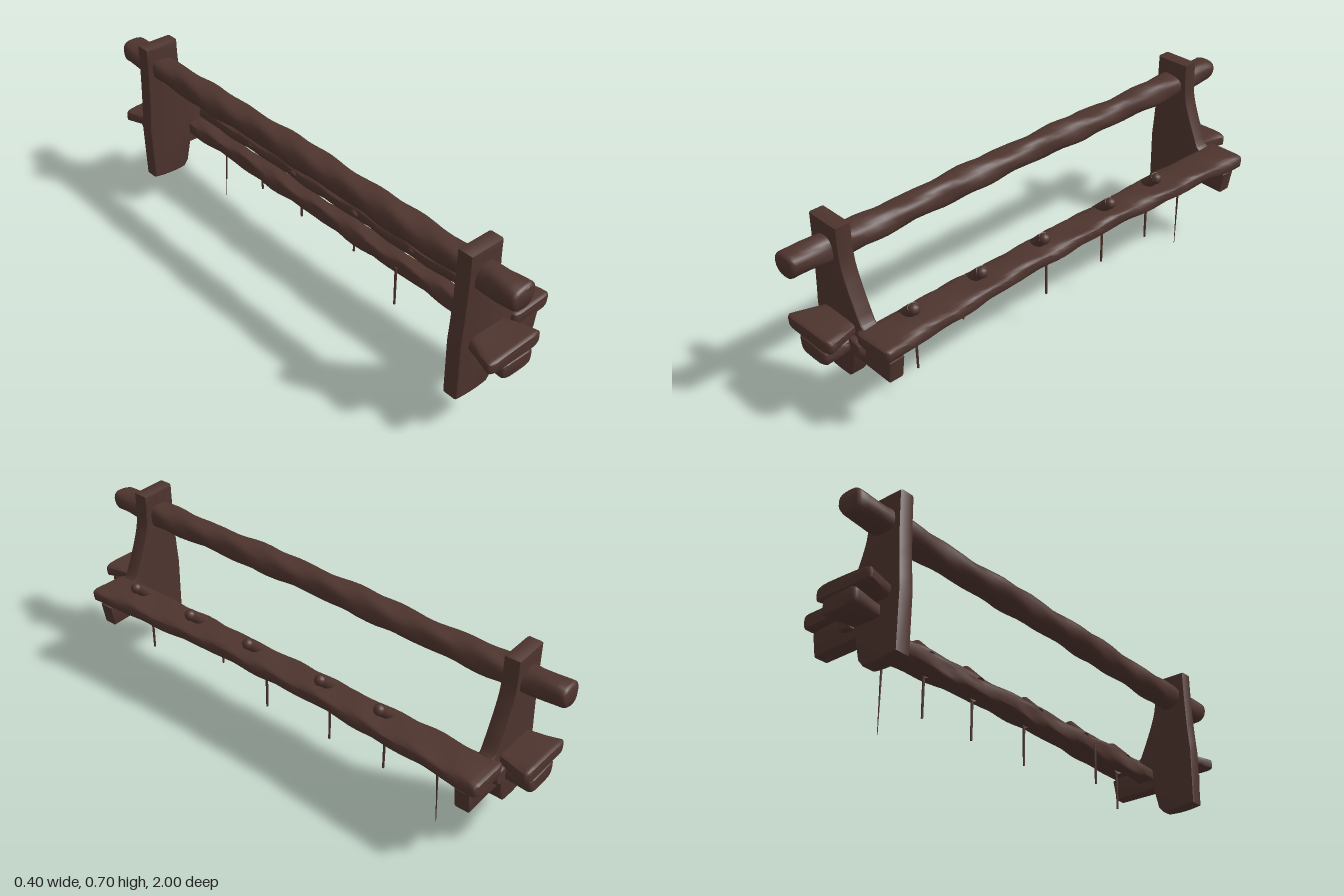
import * as THREE from 'three';
import { toCreasedNormals } from 'three/addons/utils/BufferGeometryUtils.js';

const wood = new THREE.MeshStandardMaterial({ color: 0x4e342e });
wood.name = 'dark wood';
const tan = new THREE.MeshStandardMaterial({ color: 0xb8a582 });
tan.name = 'pale cord';

// Hewn beam along z: box(t) gives [x0, x1, y0, y1] for t from 0 to 1.
function beamGeometry(z0, z1, box, { square = 0.45, wobble = 0.003, steps = 24, round = 0.012, seed = 0 } = {}) {
  const sides = 20, pos = [], index = [];
  const rings = [[0, 1 - round * 25 * 0.6], [round * 0.4, 0.94], [round, 1]];
  const stations = rings.map(([d, s]) => [z0 + d, s]);
  for (let i = 1; i < steps; i++) stations.push([z0 + (z1 - z0) * i / steps, 1]);
  for (const [d, s] of [...rings].reverse()) stations.push([z1 - d, s]);
  stations.sort((a, b) => a[0] - b[0]);
  const power = (v) => Math.sign(v) * Math.abs(v) ** square;
  for (const [z, s] of stations) {
    const [x0, x1, y0, y1] = box((z - z0) / (z1 - z0));
    for (let j = 0; j < sides; j++) {
      const a = j / sides * Math.PI * 2;
      const w = wobble * (Math.sin(z * 13 + a * 2 + seed) + Math.sin(z * 29 - a * 3 + seed * 2)) / 2;
      pos.push((x0 + x1) / 2 + power(Math.cos(a)) * (s * (x1 - x0) / 2 + w),
        (y0 + y1) / 2 + power(Math.sin(a)) * (s * (y1 - y0) / 2 + w), z);
    }
  }
  const last = stations.length - 1;
  for (let i = 0; i < last; i++) for (let j = 0; j < sides; j++) {
    const k = (j + 1) % sides, a = i * sides + j, b = i * sides + k;
    index.push(a, b, b + sides, a, b + sides, a + sides);
  }
  // flat end caps
  for (let j = 1; j < sides - 1; j++) {
    index.push(0, j + 1, j, last * sides, last * sides + j, last * sides + j + 1);
  }
  const g = new THREE.BufferGeometry();
  g.setAttribute('position', new THREE.Float32BufferAttribute(pos, 3));
  g.setIndex(index);
  return toCreasedNormals(g, 0.75);
}

// Tapered rod between two points.
function rod(name, a, b, rA, rB, sides) {
  const from = new THREE.Vector3(...a), dir = new THREE.Vector3(...b).sub(from);
  const mesh = new THREE.Mesh(new THREE.CylinderGeometry(rB, rA, dir.length(), sides), wood);
  mesh.position.copy(from).addScaledVector(dir, 0.5);
  mesh.quaternion.setFromUnitVectors(new THREE.Vector3(0, 1, 0), dir.normalize());
  mesh.name = name;
  return mesh;
}

// End bracket: tall board with a foot and a forward arm.
function bracketGeometry() {
  const s = new THREE.Shape();
  s.moveTo(-0.19, 0.146);
  s.quadraticCurveTo(-0.12, 0.133, -0.06, 0.14);
  s.lineTo(-0.045, 0.158);
  s.lineTo(-0.025, 0.242);
  s.lineTo(0.155, 0.238);
  s.lineTo(0.167, 0.308);
  s.lineTo(0.09, 0.335);
  s.lineTo(0.03, 0.375);
  s.quadraticCurveTo(-0.03, 0.5, -0.045, 0.56);
  s.quadraticCurveTo(-0.055, 0.6, -0.053, 0.696);
  s.lineTo(-0.176, 0.697);
  s.quadraticCurveTo(-0.178, 0.5, -0.192, 0.36);
  s.closePath();
  const g = new THREE.ExtrudeGeometry(s, {
    depth: 0.044, bevelThickness: 0.008, bevelSize: 0.008, bevelSegments: 2, curveSegments: 8,
  });
  g.translate(0, 0, -0.022);
  return toCreasedNormals(g, 0.6);
}

export function createModel() {
  const model = new THREE.Group();
  model.name = 'pegRack';
  const add = (name, geometry, material = wood) => {
    const mesh = new THREE.Mesh(geometry, material);
    mesh.name = name;
    model.add(mesh);
    return mesh;
  };

  // long members
  add('topRail', beamGeometry(-1, 1, (t) => {
    const y = 0.61 - 0.004 * Math.sin(t * 9);
    return [-0.164, -0.066, y - 0.044, y + 0.044];
  }, { square: 0.8, wobble: 0.005, steps: 50, round: 0.014 }));
  add('shelfPlank', beamGeometry(-0.88, 0.87, (t) => {
    const edge = 0.15 + 0.047 * Math.abs(2 * t - 1) ** 1.8;
    return [0.032, edge, 0.322, 0.376];
  }, { wobble: 0.004, steps: 50, seed: 2 }));
  add('lowerBeam', beamGeometry(-0.87, 0.87, () => [-0.018, 0.048, 0.268, 0.328],
    { wobble: 0.005, steps: 50, seed: 4 }));

  // brackets and the flared tenons outside them
  const bracket = bracketGeometry();
  for (const side of [-1, 1]) {
    add('endBracket', bracket).position.z = side * 0.82;
    const tenon = (name, inner, outer, seed) => {
      const mix = (t) => inner.map((v, i) => v + (outer[i] - v) * (side > 0 ? t : 1 - t));
      const [z0, z1] = side > 0 ? [0.8, 0.97] : [-0.97, -0.8];
      add(name, beamGeometry(z0, z1, mix, { steps: 8, seed }));
    };
    tenon('upperTenon', [-0.15, -0.01, 0.33, 0.372], [-0.2, 0.042, 0.322, 0.378], 1);
    tenon('lowerTenon', [-0.12, -0.01, 0.275, 0.32], [-0.138, 0.006, 0.264, 0.328], 3);
  }

  // slanted pegs through the shelf
  for (const z of [0.7, 0.415, 0.13, -0.2, -0.45]) {
    model.add(rod('peg', [0.04, 0.345, z - 0.01], [0.116, 0.418, z], 0.021, 0.021, 14));
    const tip = add('pegTip', new THREE.SphereGeometry(0.021, 14, 8));
    tip.position.set(0.116, 0.415, z);
  }

  // hanging cords with pale knots under the shelf
  const cords = [[0.67, 0.075], [0.39, -0.02], [0.08, 0.075], [-0.21, 0.072], [-0.45, 0.075], [-0.655, 0.062]];
  cords.forEach(([z, x], i) => {
    const long = i === 5;
    model.add(rod('cord', [x, 0.3, z], [long ? 0.053 : x, long ? 0.001 : 0.138, z - (long ? 0.01 : 0)],
      0.005, long ? 0.001 : 0.004, 8));
    const knot = add('knot', new THREE.SphereGeometry(0.016, 12, 8), tan);
    knot.position.set(0.06, 0.3, z);
    knot.scale.set(1.2, 0.9, 1.1);
    const loop = add('knotLoop', new THREE.TorusGeometry(0.013, 0.005, 6, 14), tan);
    loop.position.set(0.064, 0.3, z);
    loop.rotation.y = Math.PI / 2 + 0.4;
  });
  return model;
}
